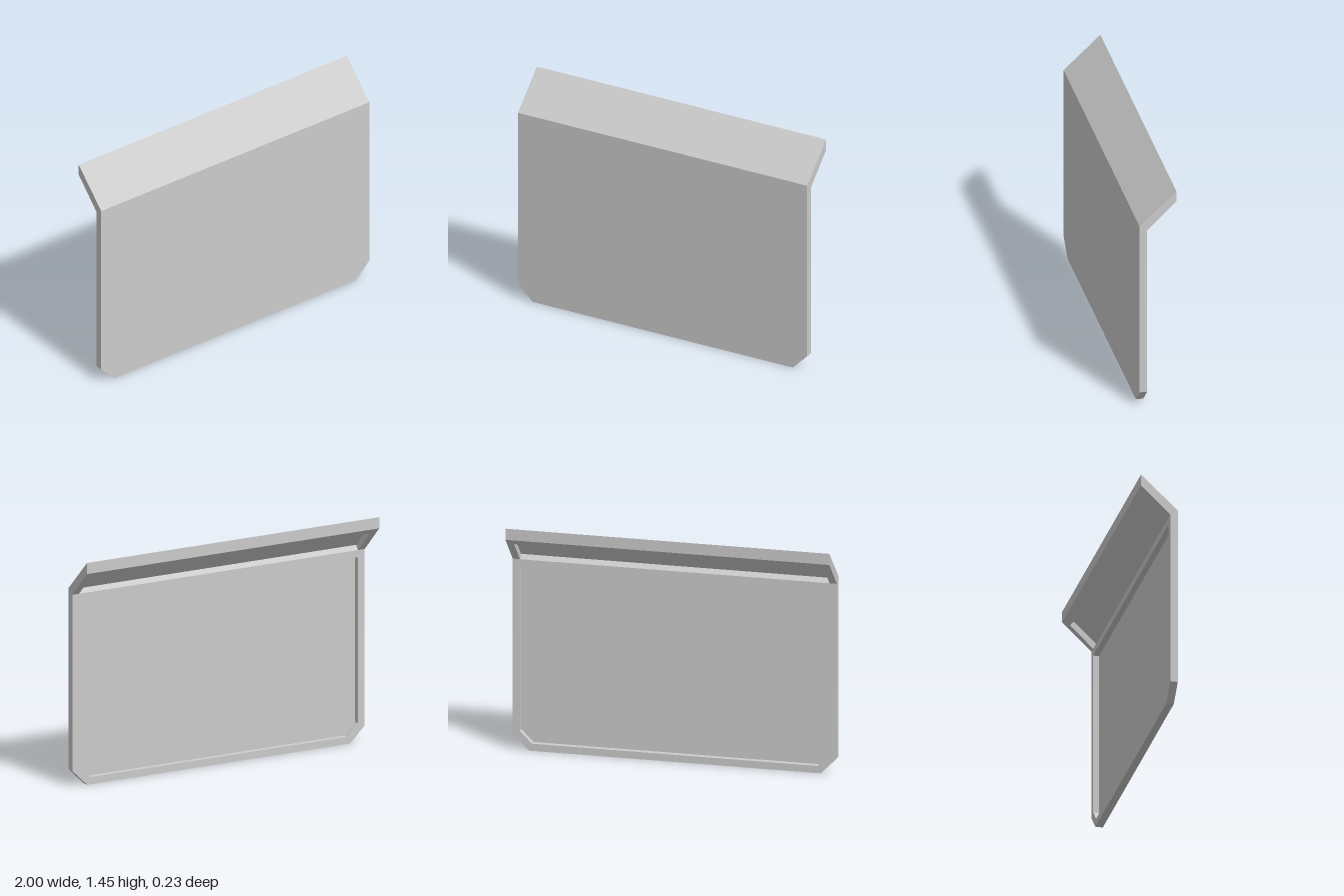
import * as THREE from 'three';

const RIM = 0.045;      // width of the raised border
const FRONT = 0.113;    // z of the front face
const THICK = 0.046;    // overall panel thickness
const SKIN = 0.01;      // thickness of the recessed sheet
const FOLD = 1.2;       // height of the fold on the back

const material = new THREE.MeshStandardMaterial({ color: 0xcccccc, flatShading: true });

const toVectors = (points) => points.map(([x, y]) => new THREE.Vector2(x, y));

// Rectangle with chamfered bottom corners
function panelOutline(halfWidth, bottom, top, chamfer) {
  return toVectors([
    [-halfWidth + chamfer, bottom], [halfWidth - chamfer, bottom],
    [halfWidth, bottom + chamfer], [halfWidth, top],
    [-halfWidth, top], [-halfWidth, bottom + chamfer],
  ]);
}

function extrude(shape, depth) {
  return new THREE.ExtrudeGeometry(shape, { depth, bevelEnabled: false });
}

// Sweep a (z, y) profile along x, centred on the given x
function sweepAcross(profile, width, x) {
  return extrude(new THREE.Shape(toVectors(profile)), width)
    .translate(0, 0, -width / 2)
    .rotateY(-Math.PI / 2)
    .translate(x, 0, 0);
}

export function createModel() {
  const group = new THREE.Group();
  const add = (name, geometry) => {
    const mesh = new THREE.Mesh(geometry, material);
    mesh.name = name;
    group.add(mesh);
  };

  // Upright panel: thin front sheet with a raised border behind it
  const outer = panelOutline(1, 0, FOLD, 0.1);
  const inner = panelOutline(1 - RIM, RIM, FOLD - RIM, 0.074);
  add('frontSheet', extrude(new THREE.Shape(outer), SKIN).translate(0, 0, FRONT - SKIN));
  const border = new THREE.Shape(outer);
  border.holes.push(new THREE.Path(inner));
  add('panelBorder', extrude(border, THICK - SKIN).translate(0, 0, FRONT - THICK));

  // Sloping flap: hollow underneath between two solid ends
  const back = FRONT - THICK;
  const top = [[FRONT, FOLD], [FRONT, 1.232], [-FRONT, 1.445], [-FRONT, 1.375]];
  const cavity = [[-0.077, 1.34], [-0.052, 1.366], [0.092, 1.226]];
  add('flap', sweepAcross([...top, ...cavity, [back, FOLD]], 2 - 2 * RIM, 0));
  for (const side of [1, -1]) {
    add(side > 0 ? 'flapEndLeft' : 'flapEndRight',
      sweepAcross([...top, [back, FOLD]], RIM, side * (1 - RIM / 2)));
  }

  return group;
}
